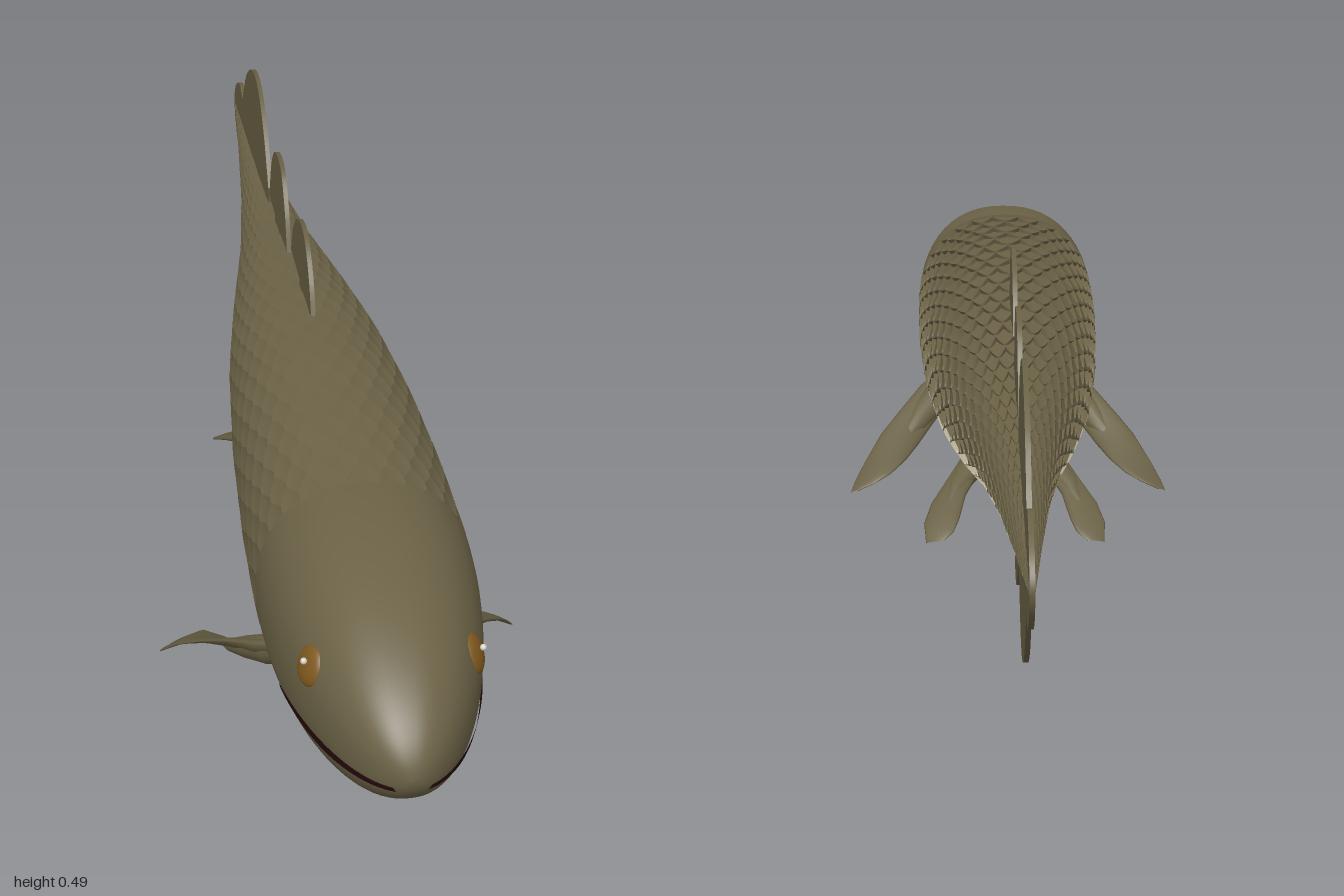
import * as THREE from 'three';
import { mergeGeometries, toCreasedNormals } from 'three/addons/utils/BufferGeometryUtils.js';

const mat = (name, color, side = THREE.FrontSide) => {
  const m = new THREE.MeshStandardMaterial({ color, side });
  m.name = name;
  return m;
};

// Surface from a rule: rows run along the part, columns run around it
function grid(fn, rows, cols, closed) {
  const pos = [], idx = [], n = closed ? cols : cols + 1;
  for (let i = 0; i <= rows; i++)
    for (let j = 0; j < n; j++) pos.push(...fn(i / rows, j / cols));
  for (let i = 0; i < rows; i++)
    for (let j = 0; j < cols; j++) {
      const k = (j + 1) % n, a = i * n + j, b = i * n + k, c = a + n, d = b + n;
      idx.push(a, b, c, b, d, c);
    }
  const g = new THREE.BufferGeometry();
  g.setAttribute('position', new THREE.Float32BufferAttribute(pos, 3));
  g.setIndex(idx);
  g.computeVertexNormals();
  return g;
}

// Body sections: z, half width, top, bottom
const SECTIONS = [
  [-1, 0.002, 0.268, 0.262], [-0.8, 0.016, 0.283, 0.247], [-0.6, 0.032, 0.3, 0.23],
  [-0.4, 0.054, 0.324, 0.206], [-0.2, 0.085, 0.354, 0.174], [0, 0.112, 0.383, 0.146],
  [0.2, 0.129, 0.404, 0.127], [0.4, 0.138, 0.415, 0.115], [0.62, 0.141, 0.417, 0.111],
];
const POWER = 2.3, HEAD = 0.58;

function bodySection(z) {
  let i = 0;
  while (i < SECTIONS.length - 2 && z > SECTIONS[i + 1][0]) i++;
  const a = SECTIONS[i], b = SECTIONS[i + 1], t = (z - a[0]) / (b[0] - a[0]);
  const [w, top, bot] = [1, 2, 3].map((k) => a[k] + (b[k] - a[k]) * t);
  return { w, mid: (top + bot) / 2, h: (top - bot) / 2 };
}

function headSection(z) {
  const t = Math.min(1, (z - HEAD) / (1 - HEAD)), k = Math.pow(Math.max(0, 1 - t * t), 0.55);
  return { w: 0.147 * k, mid: 0.25 + 0.017 * k, h: 0.158 * k };
}

// Point on a rounded-square section
function around(s, angle, z, lift = 0) {
  const bend = (v) => Math.sign(v) * Math.pow(Math.abs(v), 2 / POWER);
  return [(s.w + lift) * bend(Math.cos(angle)), s.mid + (s.h + lift) * bend(Math.sin(angle)), z];
}

// Overlapping scales in staggered rows, raised toward their rear edges
function scaleGeometries() {
  const back = [], belly = [], count = 28, step = 0.045, da = (Math.PI * 2) / count;
  for (let r = 0; r < 35; r++) {
    const z0 = 0.61 - r * step;
    for (let c = 0; c < count; c++) {
      const a0 = (c + (r % 2) / 2) * da;
      const patch = (rows, skirt) => grid((i, j) => {
        const u = j * 2 - 1, v = skirt ? 1 : 1 - i;
        const z = Math.max(-0.99, z0 - step * 1.75 * v * (1 - 0.45 * Math.abs(u) ** 1.6));
        const s = bodySection(z), size = Math.min(1, 0.15 + s.w / 0.12);
        const lift = skirt ? 0.008 * i * size : (0.001 + 0.007 * v) * size;
        return around(s, a0 + u * da * 0.52, z, lift);
      }, rows, 6, false);
      (Math.sin(a0) < -0.42 ? belly : back).push(patch(2, false), patch(1, true));
    }
  }
  return [mergeGeometries(back), mergeGeometries(belly)];
}

// Paired fin: lens-shaped sections between leading and trailing points
function loft(stations, side) {
  const st = stations.map(([l, t, th]) => ({
    l: new THREE.Vector3(l[0] * side, l[1], l[2]),
    t: new THREE.Vector3(t[0] * side, t[1], t[2]), th,
  }));
  const mids = st.map((s) => s.l.clone().add(s.t).multiplyScalar(0.5));
  const last = st.length - 1;
  const ring = (i, a) => {
    const d = mids[Math.min(last, i + 1)].clone().sub(mids[Math.max(0, i - 1)]);
    const u = st[i].l.clone().sub(st[i].t).multiplyScalar(0.5);
    const n = d.cross(u).normalize().multiplyScalar(st[i].th / 2);
    return mids[i].clone().addScaledVector(u, Math.cos(a)).addScaledVector(n, Math.sin(a)).toArray();
  };
  return grid((i, j) => ring(Math.round(i * last), j * Math.PI * 2), last, 16, true);
}

const PECTORAL = [
  [[0.1, 0.165, 0.57], [0.08, 0.12, 0.53], 0.03], [[0.145, 0.14, 0.525], [0.12, 0.09, 0.48], 0.022],
  [[0.18, 0.11, 0.47], [0.15, 0.062, 0.42], 0.014], [[0.212, 0.08, 0.425], [0.17, 0.048, 0.375], 0.01],
  [[0.24, 0.042, 0.375], [0.195, 0.035, 0.335], 0.008], [[0.255, 0.018, 0.35], [0.22, 0.022, 0.328], 0.006],
  [[0.262, 0.003, 0.334], [0.25, 0.008, 0.33], 0.003],
];
const PECTORAL_LOBE = [
  [[0.09, 0.165, 0.575], [0.07, 0.12, 0.53], 0.045], [[0.132, 0.142, 0.53], [0.115, 0.095, 0.49], 0.042],
  [[0.157, 0.115, 0.49], [0.14, 0.078, 0.45], 0.032], [[0.175, 0.086, 0.445], [0.163, 0.068, 0.425], 0.018],
  [[0.179, 0.068, 0.419], [0.177, 0.066, 0.416], 0.002],
];
const PELVIC = [
  [[0.075, 0.155, 0.03], [0.05, 0.138, -0.01], 0.022], [[0.1, 0.132, -0.03], [0.073, 0.115, -0.065], 0.016],
  [[0.125, 0.107, -0.08], [0.083, 0.093, -0.115], 0.01], [[0.136, 0.086, -0.115], [0.092, 0.08, -0.143], 0.007],
  [[0.133, 0.066, -0.152], [0.108, 0.069, -0.153], 0.003],
];
const PELVIC_LOBE = [
  [[0.07, 0.158, 0.035], [0.045, 0.138, -0.01], 0.032], [[0.097, 0.13, -0.03], [0.078, 0.115, -0.06], 0.026],
  [[0.105, 0.11, -0.075], [0.094, 0.102, -0.09], 0.014], [[0.106, 0.1, -0.095], [0.105, 0.099, -0.096], 0.002],
];

// Thin upright fin; outline given as z, y
function medianFin(start, curve, end) {
  const v = (p) => new THREE.Vector2(p[0], p[1]);
  const s = new THREE.Shape();
  s.moveTo(...start);
  s.lineTo(...curve[0]);
  s.splineThru(curve.slice(1).map(v));
  end.forEach((p) => s.lineTo(...p));
  return new THREE.ExtrudeGeometry(s, { depth: 0.007, bevelEnabled: false, curveSegments: 32 })
    .rotateY(-Math.PI / 2).translate(0.0035, 0, 0);
}
const flip = (pts) => pts.map(([z, y]) => [z, 0.53 - y]);

export function createModel() {
  const group = new THREE.Group();
  const skin = mat('olive skin', 0x6b6246);
  const finSkin = mat('fin olive', 0x686044);
  const cream = mat('belly cream', 0xb4ac94);
  const amber = mat('eye amber', 0x80591f);
  const dark = mat('mouth dark', 0x260b0b, THREE.DoubleSide);
  const pale = mat('eye glint', 0xd8d4c8);
  const add = (name, geo, m) => {
    const mesh = new THREE.Mesh(geo, m);
    mesh.name = name;
    group.add(mesh);
    return mesh;
  };

  // Trunk and scales
  add('body', grid((i, j) => {
    const z = -1 + 1.61 * i;
    return around(bodySection(z), j * Math.PI * 2, z);
  }, 40, 56, true), skin);
  const [back, belly] = scaleGeometries();
  add('backScales', back, skin);
  add('bellyScales', belly, cream);

  // Smooth head with a raised rear rim
  add('head', grid((i, j) => {
    const z = HEAD + (1 - HEAD) * Math.sin((i * Math.PI) / 2);
    return around(headSection(z), j * Math.PI * 2, z);
  }, 32, 56, true), skin);
  add('gillRim', grid((i, j) => around(headSection(HEAD), j * Math.PI * 2, HEAD, -0.014 * (1 - i)), 1, 56, true), skin);

  // Median fins
  const lobe = [[-0.225, 0.35], [-0.25, 0.41], [-0.29, 0.455], [-0.335, 0.465], [-0.39, 0.45], [-0.432, 0.405], [-0.458, 0.34]];
  const lobeEnd = [[-0.38, 0.342], [-0.38, 0.3]];
  add('frontDorsalFin', medianFin([0.04, 0.36],
    [[0.065, 0.395], [0.043, 0.44], [0.005, 0.477], [-0.04, 0.491], [-0.1, 0.475], [-0.148, 0.435], [-0.173, 0.387]],
    [[-0.07, 0.388], [-0.07, 0.35]]), finSkin);
  add('rearDorsalFin', medianFin([-0.25, 0.31], lobe, lobeEnd), finSkin);
  add('analFin', medianFin([-0.25, 0.22], flip(lobe), flip(lobeEnd)), finSkin);
  const tail = [[-0.475, 0.345], [-0.53, 0.41], [-0.59, 0.452], [-0.65, 0.465], [-0.72, 0.45], [-0.79, 0.41], [-0.84, 0.36], [-0.868, 0.323]];
  add('upperTailFin', medianFin([-0.475, 0.265], tail, [[-0.868, 0.265]]), finSkin);
  add('lowerTailFin', medianFin([-0.475, 0.265], flip(tail), [[-0.868, 0.265]]), finSkin);
  const tip = [[-0.86, 0.328], [-0.9, 0.34], [-0.945, 0.326], [-0.985, 0.298], [-1, 0.265]];
  add('tailTip', medianFin([-0.86, 0.265], [...tip, ...flip(tip).reverse().slice(1)], []), finSkin);

  for (const side of [1, -1]) {
    const label = side > 0 ? 'left' : 'right';
    // Paired fins with fleshy lobes
    add(label + 'PectoralFin', loft(PECTORAL, side), finSkin);
    add(label + 'PectoralLobe', loft(PECTORAL_LOBE, side), finSkin);
    add(label + 'PelvicFin', loft(PELVIC, side), finSkin);
    add(label + 'PelvicLobe', loft(PELVIC_LOBE, side), finSkin);

    // Eye and glint
    const eye = add(label + 'Eye', new THREE.SphereGeometry(0.027, 24, 16).scale(1, 1, 0.38), amber);
    eye.position.set(0.105 * side, 0.315, 0.83);
    eye.lookAt(side * 1.105, 0.315 + 0.4, 0.83 + 0.36);
    add(label + 'EyeGlint', new THREE.SphereGeometry(0.0045, 10, 8), pale).position.set(0.115 * side, 0.329, 0.838);

    // Mouth line following the head
    add(label + 'Mouth', grid((i, j) => {
      const z = 0.992 - 0.257 * i, s = headSection(z);
      const y = 0.237 - 0.016 * i + (j - 0.5) * (0.007 + 0.008 * Math.sin(Math.PI * Math.min(1, i * 0.9)));
      const q = Math.min(1, Math.abs((y - s.mid) / s.h));
      const x = s.w * Math.pow(1 - Math.pow(q, POWER), 1 / POWER);
      return [side * (x + 0.002), y, z + 0.003];
    }, 30, 2, false), dark);
  }
  return group;
}
